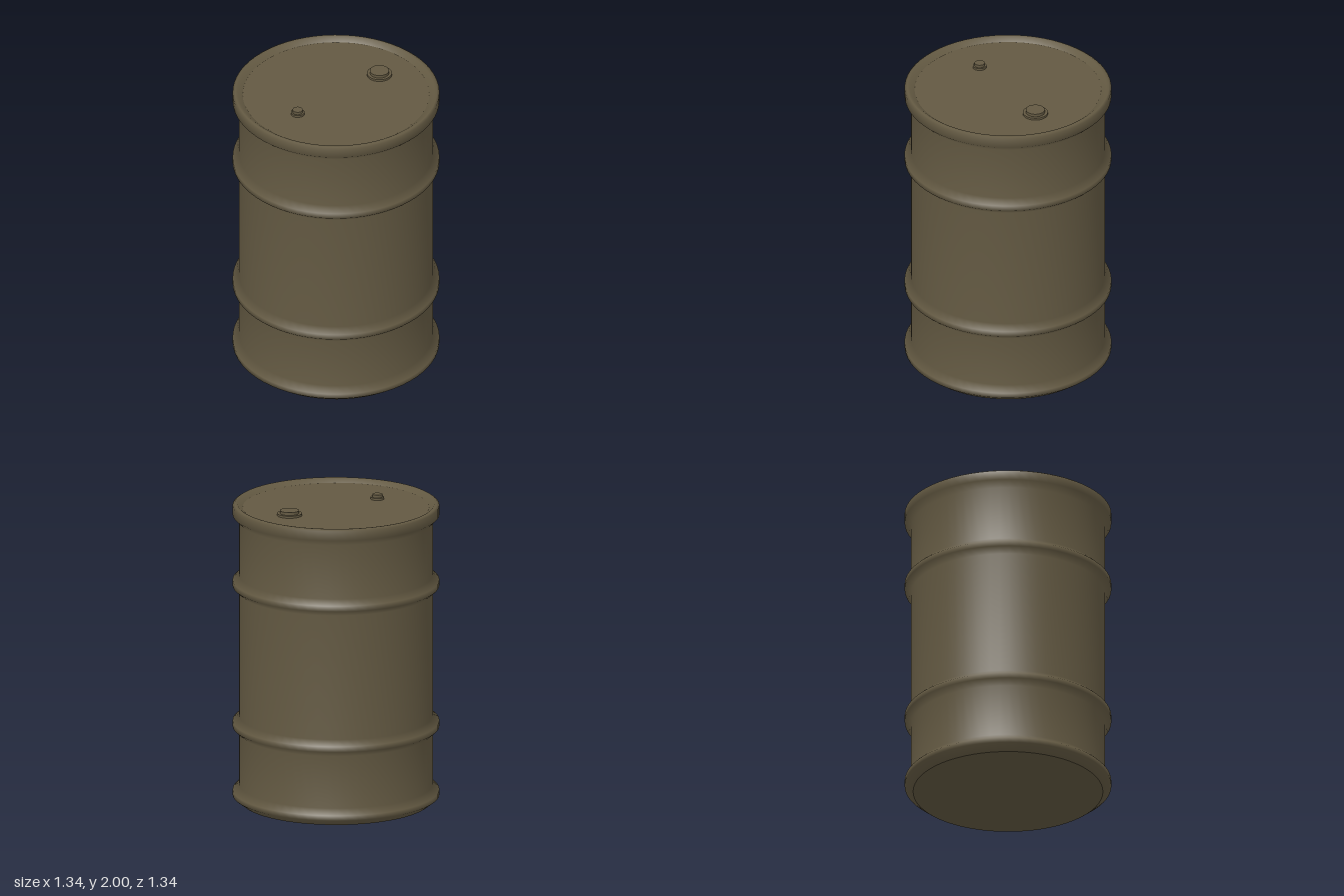
import * as THREE from 'three';

const SEGMENTS = 64;

export function createModel() {
  const drum = new THREE.Group();
  drum.name = 'drum';
  const paint = new THREE.MeshStandardMaterial({ color: 0x635942 });
  paint.name = 'olive paint';

  const add = (parent, name, geometry, x = 0, y = 0, z = 0) => {
    const mesh = new THREE.Mesh(geometry, paint);
    mesh.name = name;
    mesh.position.set(x, y, z);
    parent.add(mesh);
  };

  // Shell: bottom chime, two rolling hoops and top chime, smooth throughout
  const wall = 0.63, hoop = 0.67, lidY = 1.967, lidR = 0.605;
  const ring = (y) => [[wall, y - 0.055], [hoop, y - 0.018], [hoop, y + 0.018], [wall, y + 0.055]];
  const profile = [
    [0.615, 0], [hoop, 0.042], [hoop, 0.075], [wall, 0.115],
    ...ring(0.52), ...ring(1.463),
    [wall, 1.88], [hoop, 1.92], [hoop, 1.982], [0.655, 1.992], [0.638, 1.992], [lidR, lidY],
  ].map(([r, y]) => new THREE.Vector2(r, y));
  add(drum, 'shell', new THREE.LatheGeometry(profile, SEGMENTS));

  // Flat ends
  add(drum, 'lid', new THREE.CircleGeometry(lidR, SEGMENTS).rotateX(-Math.PI / 2), 0, lidY, 0);
  add(drum, 'base', new THREE.CircleGeometry(0.615, SEGMENTS).rotateX(Math.PI / 2));

  // Bungs: a flange with a narrower plug on top
  const addBung = (name, x, z, flangeR, plugR) => {
    const bung = new THREE.Group();
    bung.name = name;
    bung.position.set(x, lidY, z);
    add(bung, 'flange', new THREE.CylinderGeometry(flangeR, flangeR, 0.014, 32), 0, 0.007, 0);
    add(bung, 'plug', new THREE.CylinderGeometry(plugR, plugR, 0.033, 32), 0, 0.0165, 0);
    drum.add(bung);
  };
  addBung('largeBung', 0.305, -0.195, 0.081, 0.062);
  addBung('smallBung', -0.272, 0.2, 0.044, 0.033);

  return drum;
}
